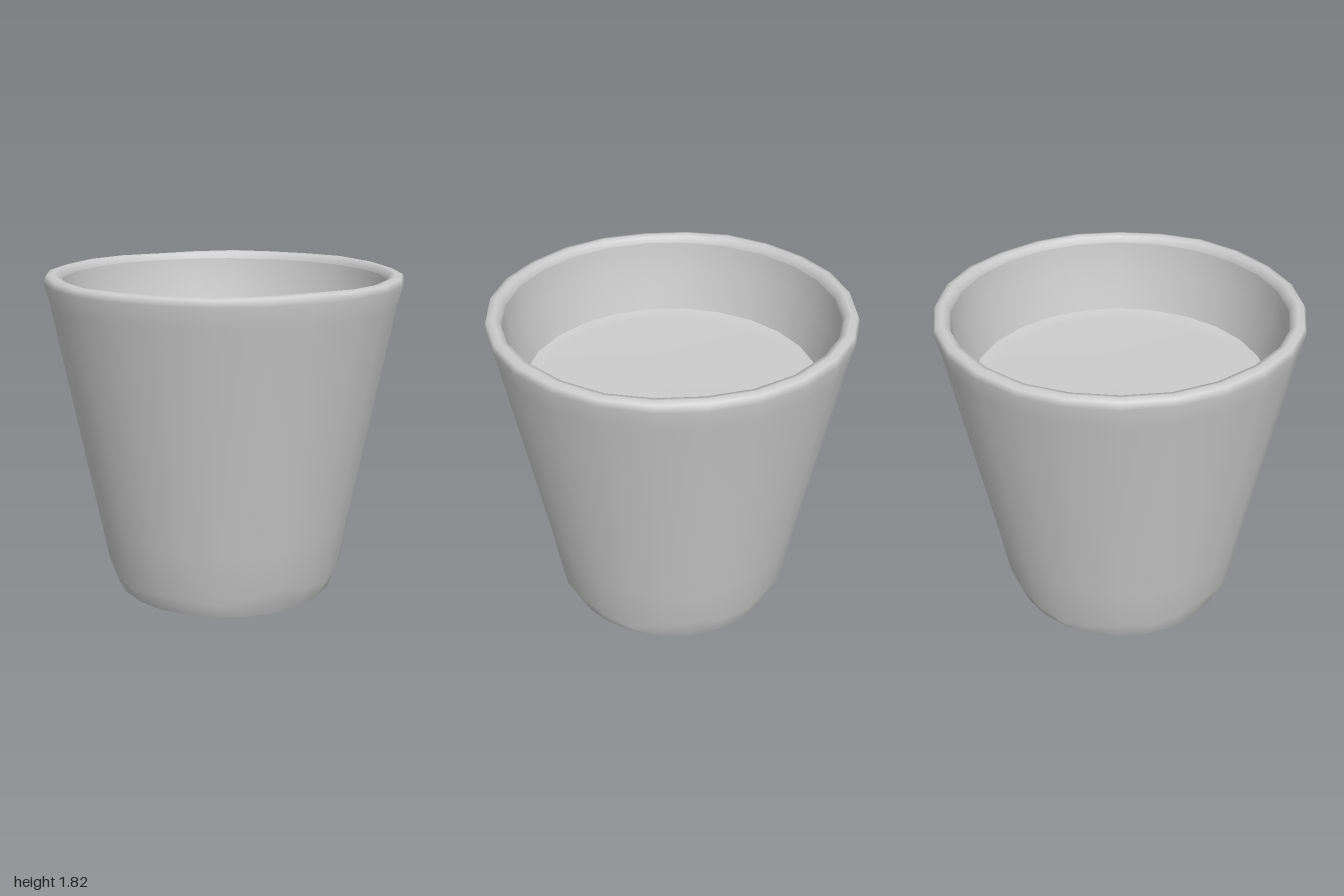
import * as THREE from 'three';

const SIDES = 24;

// Turn a profile of [radius, height] pairs, then vary it slightly by hand-made waves
function turned(name, profile, material) {
  const points = profile.map(([r, y]) => new THREE.Vector2(r, y));
  const geometry = new THREE.LatheGeometry(points, SIDES);
  const pos = geometry.attributes.position;
  for (let i = 0; i < pos.count; i++) {
    const x = pos.getX(i), y = pos.getY(i), z = pos.getZ(i);
    const a = Math.atan2(x, z);
    const wave = Math.sin(3 * a + 0.6) + Math.sin(7 * a);
    // uneven lower bevel and gently wavy rim
    if (y > 0.05 && y < 0.2) pos.setY(i, y + 0.02 * wave);
    else if (y > 1.79) pos.setY(i, y + 0.003 * wave);
  }
  const mesh = new THREE.Mesh(geometry, material);
  mesh.name = name;
  return mesh;
}

export function createModel() {
  const group = new THREE.Group();
  group.name = 'cup';
  const grey = new THREE.MeshStandardMaterial({ color: 0xcccccc, roughness: 0.8 });

  // Flat underside
  group.add(turned('base', [[0, 0], [0.63, 0]], grey));

  // Tapered wall with a bevelled foot, running over the rounded rim
  group.add(turned('outerWallAndRim', [
    [0.63, 0], [0.685, 0.12], [0.73, 0.4], [0.86, 1.08], [0.97, 1.66],
    [0.998, 1.77], [0.985, 1.805], [0.95, 1.813], [0.92, 1.805], [0.907, 1.77],
  ], grey));

  // Inner wall down to the filled level
  group.add(turned('innerWall', [[0.907, 1.77], [0.885, 1.6], [0.82, 1.37]], grey));

  // Shallow inner floor
  group.add(turned('innerFloor', [[0.82, 1.37], [0.74, 1.35], [0, 1.345]], grey));

  return group;
}
